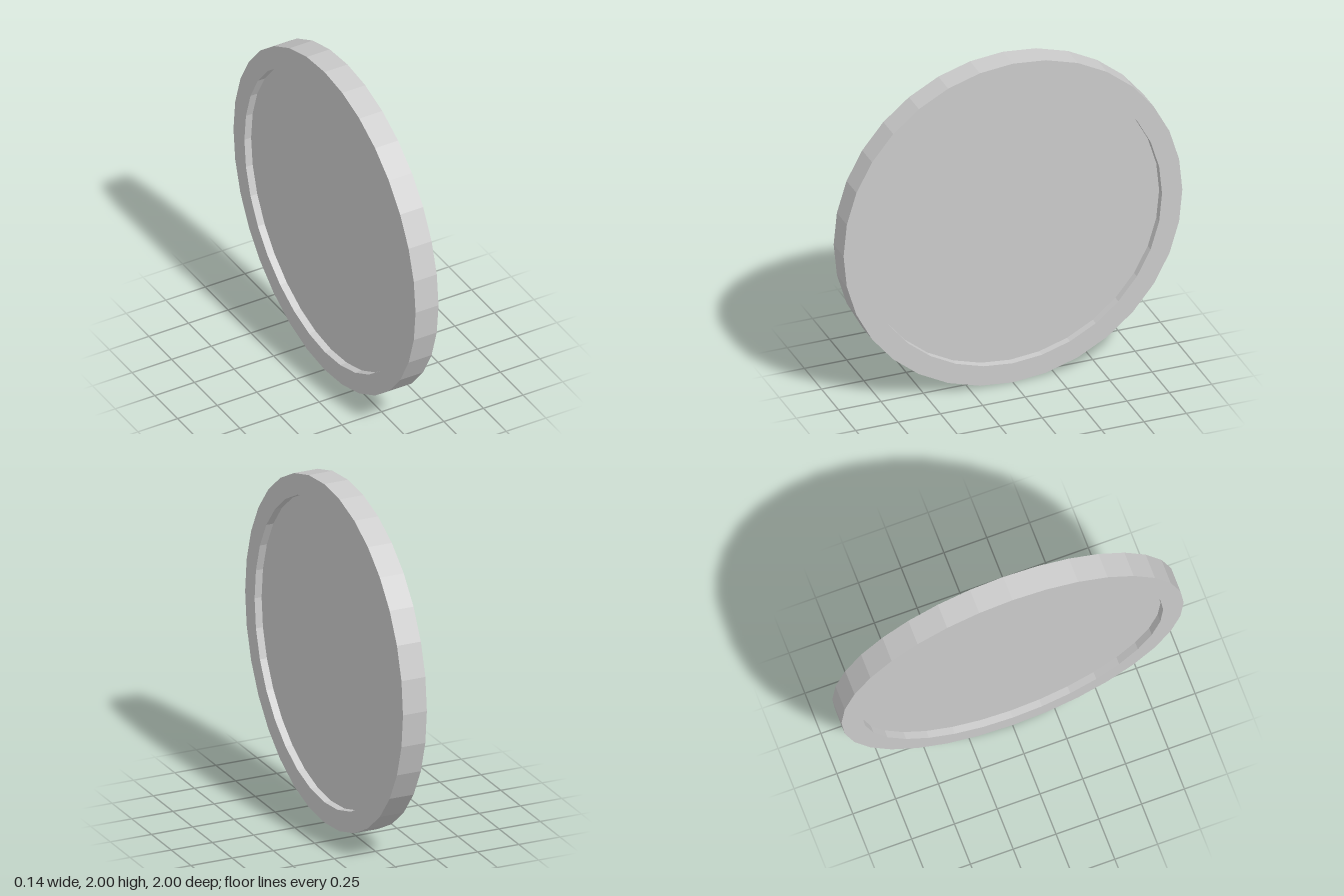
import * as THREE from 'three';

const SIDES = 32;
const OUTER = 1, INNER = 0.88;      // rim radii
const RIM = 0.0725, FACE = 0.03;    // half thicknesses of rim and recessed disc

export function createModel() {
  const material = new THREE.MeshStandardMaterial({ color: 0xcccccc, flatShading: true });
  const coin = new THREE.Group();
  coin.name = 'coin';

  // Profiles run from bottom to top around the coin's axis
  const addLathe = (name, profile) => {
    const points = profile.map(([r, h]) => new THREE.Vector2(r, h));
    const mesh = new THREE.Mesh(new THREE.LatheGeometry(points, SIDES), material);
    mesh.name = name;
    coin.add(mesh);
  };

  // Raised rim: inner wall below, flat edge, outer wall, flat edge, inner wall above
  addLathe('rim', [
    [INNER, -FACE], [INNER, -RIM], [OUTER, -RIM],
    [OUTER, RIM], [INNER, RIM], [INNER, FACE],
  ]);

  // Recessed faces on both sides
  addLathe('leftFace', [[INNER, FACE], [0, FACE]]);
  addLathe('rightFace', [[0, -FACE], [INNER, -FACE]]);

  // Stand the coin on its edge, axis along x
  coin.rotation.z = -Math.PI / 2;
  coin.position.y = OUTER;

  const model = new THREE.Group();
  model.name = 'model';
  model.add(coin);
  return model;
}
